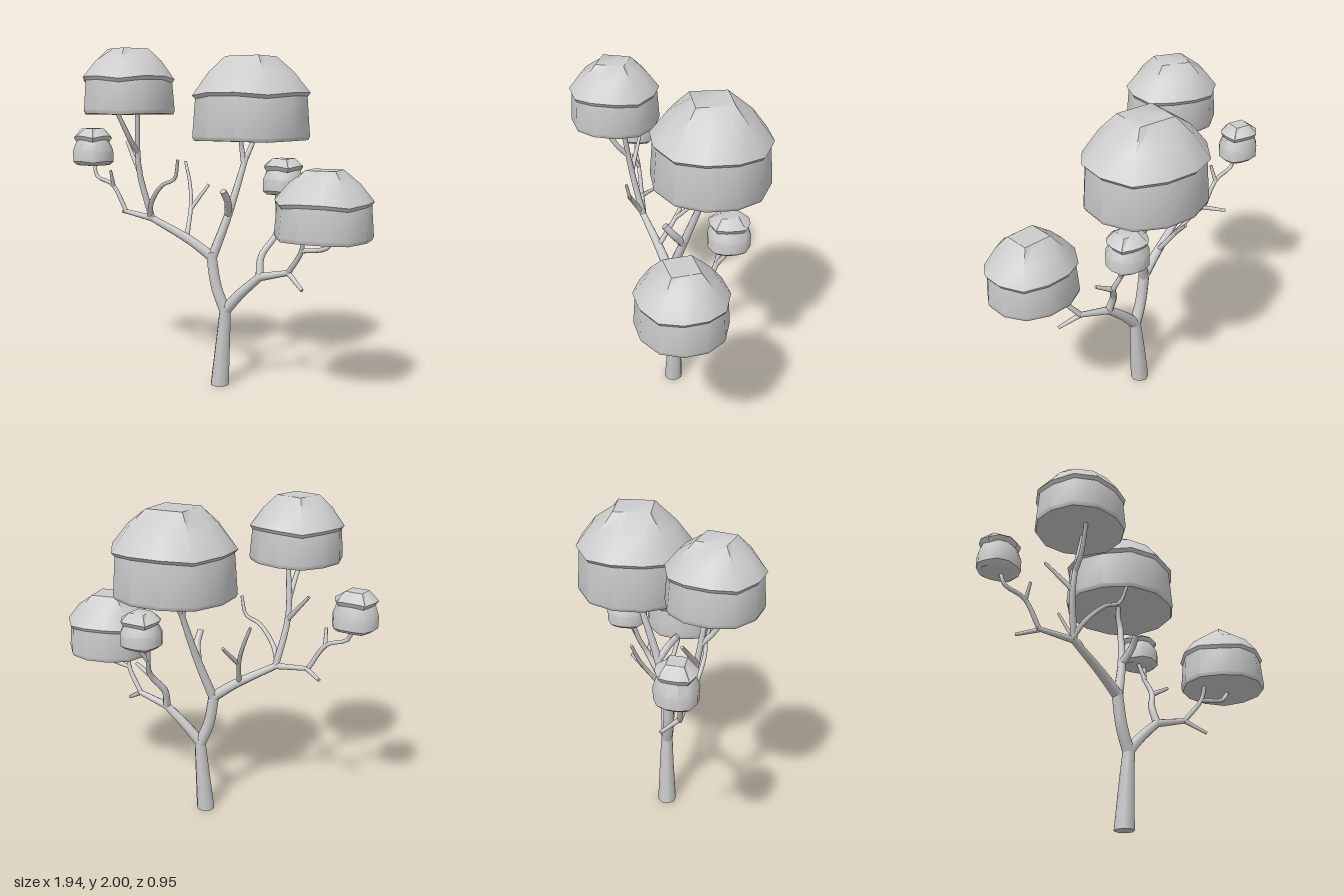
import * as THREE from 'three';
import { toCreasedNormals, mergeGeometries } from 'three/addons/utils/BufferGeometryUtils.js';

const material = new THREE.MeshStandardMaterial({ color: 0xcccccc });
const SIDES = 8;

// Flat disc closing one end of a limb
function endCap(at, dir, radius) {
  const q = new THREE.Quaternion().setFromUnitVectors(new THREE.Vector3(0, 0, 1), dir);
  return new THREE.CircleGeometry(radius, SIDES).applyQuaternion(q).translate(at.x, at.y, at.z);
}

// Tapered, capped limb along a curve; returns what its own branches need to grow from it
function limb(group, name, r0, r1, vectors) {
  const curve = new THREE.CatmullRomCurve3(vectors);
  const n = (vectors.length - 1) * 4;
  const radiusAt = t => r0 + (r1 - r0) * t;
  const tube = new THREE.TubeGeometry(curve, n, 1, SIDES);
  const pos = tube.attributes.position, v = new THREE.Vector3();
  for (let k = 0; k < pos.count; k++) {
    const t = Math.floor(k / (SIDES + 1)) / n, c = curve.getPointAt(t);
    v.fromBufferAttribute(pos, k).sub(c).multiplyScalar(radiusAt(t)).add(c);
    pos.setXYZ(k, v.x, v.y < 0.01 ? 0 : v.y, v.z);
  }
  const foot = vectors[0].y === 0 ? new THREE.Vector3(0, -1, 0) : curve.getTangentAt(0).negate();
  const mesh = new THREE.Mesh(mergeGeometries([
    tube, endCap(vectors[0], foot, r0), endCap(vectors.at(-1), curve.getTangentAt(1), r1),
  ]), material);
  mesh.name = name;
  group.add(mesh);
  return { group, curve, radiusAt };
}

// Branch leaving its parent at fraction t, never thicker than the parent there
function grow(parent, t, name, tipRadius, ...points) {
  const r0 = Math.min(parent.radiusAt(t), tipRadius * 1.8);
  const path = [parent.curve.getPointAt(t), ...points.map(p => new THREE.Vector3(...p))];
  return limb(parent.group, name, r0, tipRadius, path);
}

// Leaf clump: twelve-sided drum, overhanging lip, dome ending in a flat square
// profile rows: [radius factor, height, waviness, squareness]
function clump(name, x, z, rx, rz, turn, profile) {
  const sides = 12, pos = [], idx = [];
  for (const [f, y, wave, square] of profile) {
    for (let j = 0; j < sides; j++) {
      const a = turn + j / sides * Math.PI * 2;
      const edge = Math.SQRT1_2 / Math.cos((j % 3) * Math.PI / 6 - Math.PI / 4);
      const r = f * (1 - square + square * edge);
      pos.push(x + Math.sin(a) * r * rx, y + wave * (j % 3 ? 0.5 : -1), z + Math.cos(a) * r * rz);
    }
  }
  for (let i = 0; i < profile.length - 1; i++)
    for (let j = 0; j < sides; j++) {
      const a = i * sides + j, b = i * sides + (j + 1) % sides;
      idx.push(a, b, b + sides, a, b + sides, a + sides);
    }
  // Underside and flat top
  const last = (profile.length - 1) * sides;
  for (let j = 1; j < sides - 1; j++) idx.push(0, j + 1, j, last, last + j, last + j + 1);
  const g = new THREE.BufferGeometry();
  g.setAttribute('position', new THREE.Float32BufferAttribute(pos, 3));
  g.setIndex(idx);
  const mesh = new THREE.Mesh(toCreasedNormals(g, 0.6), material);
  mesh.name = name;
  return mesh;
}

const largeProfile = (bottom, rim, top) => [
  [0.97, bottom, 0.004, 0], [1, bottom + 0.02, 0.004, 0], [0.95, rim - 0.02, 0.01, 0],
  [1, rim, 0.01, 0], [0.72, rim + (top - rim) * 0.58, 0, 0], [0.44, top, 0, 1],
];
const smallProfile = (bottom, rim, top) => [
  [0.8, bottom, 0.005, 0], [1, bottom + 0.02, 0.005, 0], [1, bottom + 0.09, 0, 0],
  [0.82, rim - 0.025, 0.008, 0], [0.95, rim, 0.008, 0], [0.55, top, 0, 1],
];

export function createModel() {
  const tree = new THREE.Group();
  tree.name = 'tree';
  const wood = new THREE.Group();
  wood.name = 'trunkAndBranches';
  const foliage = new THREE.Group();
  foliage.name = 'foliage';
  tree.add(wood, foliage);

  const trunk = limb(wood, 'trunk', 0.058, 0.034, [
    new THREE.Vector3(0.03, 0, 0.025), new THREE.Vector3(0.055, 0.33, 0.025), new THREE.Vector3(0.068, 0.49, 0.028),
  ]);

  // Right side of the crown
  const rightLimb = grow(trunk, 0.93, 'rightLimb', 0.033, [0.01, 0.6, 0.03], [-0.025, 0.81, 0.03]);
  const rightBough = grow(rightLimb, 0.93, 'rightBough', 0.02, [-0.15, 0.875, 0.045], [-0.4, 1.01, 0.08]);

  const backBranch = grow(rightBough, 0.42, 'backBranch', 0.009, [-0.2, 1.07, -0.08], [-0.24, 1.2, -0.16], [-0.29, 1.33, -0.21]);
  grow(backBranch, 0.38, 'backTwig', 0.009, [-0.13, 1.19, -0.2]);
  grow(rightBough, 1, 'frontBranch', 0.009, [-0.36, 1.11, 0.14], [-0.26, 1.22, 0.2], [-0.175, 1.26, 0.22], [-0.14, 1.37, 0.25]);

  const clumpBranch = grow(rightBough, 0.97, 'clumpBranch', 0.014, [-0.445, 1.3, 0.13], [-0.42, 1.67, 0.19]);
  grow(clumpBranch, 0.6, 'clumpTwig', 0.012, [-0.455, 1.47, 0.21], [-0.5, 1.67, 0.32]);
  grow(clumpBranch, 0.43, 'sideTwig', 0.009, [-0.575, 1.46, 0.03]);

  const outerBough = grow(rightBough, 0.97, 'outerBough', 0.014, [-0.6, 1.03, 0.02]);
  grow(outerBough, 0.9, 'outerStub', 0.01, [-0.67, 1.01, -0.09]);
  const outerBranch = grow(outerBough, 0.95, 'outerBranch', 0.011, [-0.69, 1.19, 0.01], [-0.81, 1.24, -0.01], [-0.835, 1.34, -0.03]);
  grow(outerBranch, 0.42, 'outerTwig', 0.009, [-0.68, 1.28, 0.05]);

  // Middle of the crown
  const topLimb = grow(rightLimb, 0.9, 'topLimb', 0.017, [0.065, 1.04, -0.03], [0.14, 1.38, -0.13]);
  grow(topLimb, 0.95, 'topTwig', 0.013, [0.18, 1.52, -0.22]);
  grow(topLimb, 0.92, 'topTwig', 0.012, [0.115, 1.42, -0.12], [0.11, 1.52, -0.1]);
  grow(topLimb, 0.43, 'topStub', 0.02, [0.085, 1.12, 0.04], [0.075, 1.185, 0.09]);

  // Left side of the crown
  const leftLimb = grow(trunk, 0.95, 'leftLimb', 0.024, [0.16, 0.57, 0.03], [0.29, 0.69, 0.04]);
  const leftBranch = grow(leftLimb, 0.97, 'leftBranch', 0.014, [0.28, 0.8, 0], [0.35, 0.93, -0.07], [0.34, 1.05, -0.13]);
  grow(leftBranch, 0.95, 'leftTwig', 0.011, [0.32, 1.19, -0.17]);
  grow(leftBranch, 0.97, 'leftTwig', 0.01, [0.41, 1.19, -0.2]);
  grow(leftBranch, 0.66, 'leftStub', 0.01, [0.45, 0.98, -0.03]);

  const leftBough = grow(leftLimb, 0.97, 'leftBough', 0.016, [0.48, 0.735, 0.09]);
  grow(leftBough, 0.95, 'lowStub', 0.01, [0.575, 0.655, 0.17]);
  const leftFork = grow(leftBough, 0.95, 'leftFork', 0.012, [0.565, 0.88, 0.15], [0.57, 0.99, 0.18]);
  grow(leftFork, 0.6, 'forkTwig', 0.012, [0.72, 0.91, 0.19], [0.765, 0.99, 0.2]);

  // Leaf clumps
  foliage.add(
    clump('topClump', 0.16, -0.15, 0.36, 0.335, 0.57, largeProfile(1.475, 1.745, 1.965)),
    clump('rightClump', -0.465, 0.21, 0.27, 0.26, 0.25, largeProfile(1.63, 1.835, 2)),
    clump('leftClump', 0.7, 0.21, 0.27, 0.25, 0.73, largeProfile(0.96, 1.165, 1.335)),
    clump('smallLeftClump', 0.355, -0.19, 0.125, 0.122, 0.5, smallProfile(1.155, 1.32, 1.365)),
    clump('smallRightClump', -0.845, -0.03, 0.128, 0.115, 0.45, smallProfile(1.31, 1.485, 1.535)),
  );
  return tree;
}
